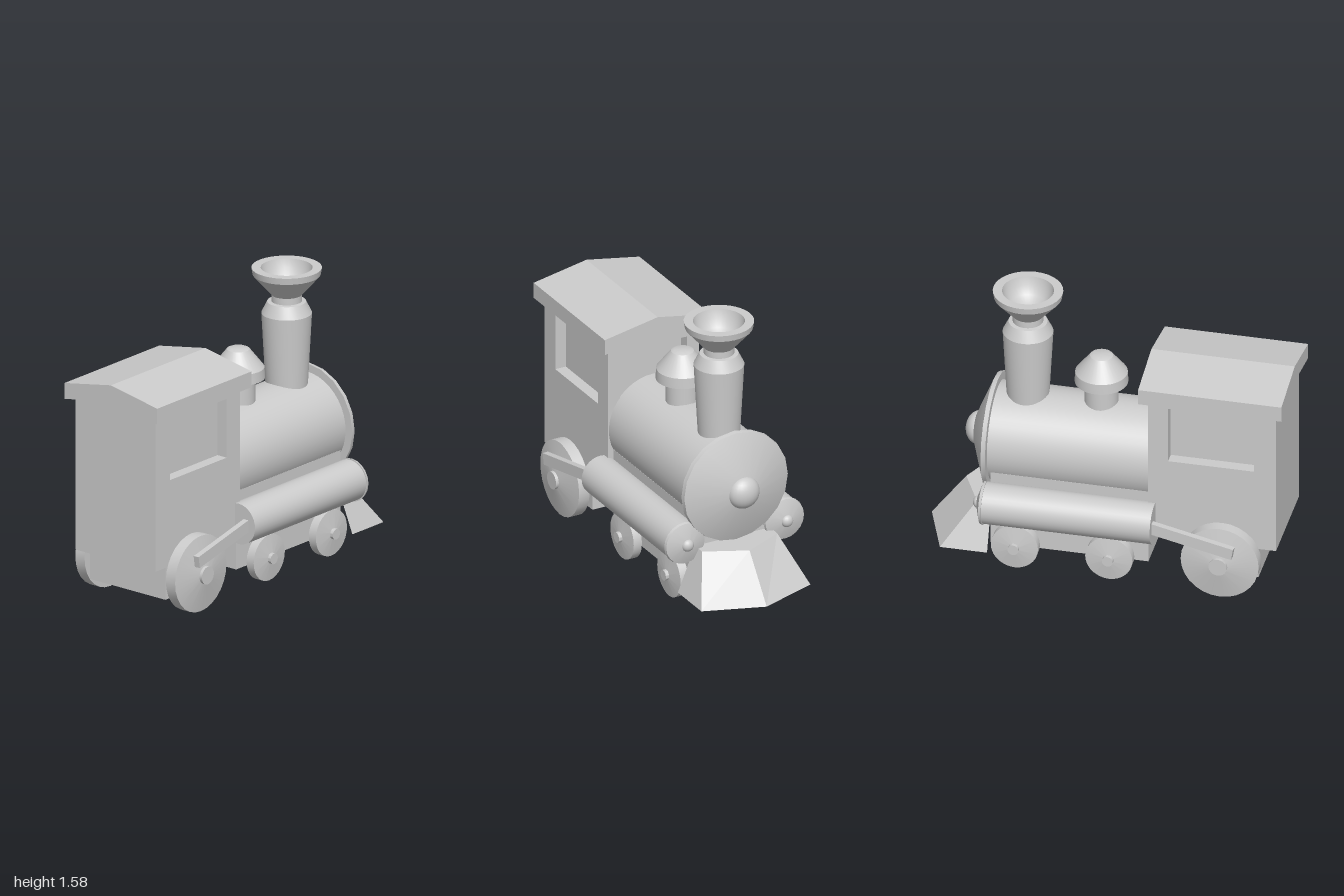
import * as THREE from 'three';
import { toCreasedNormals } from 'three/addons/utils/BufferGeometryUtils.js';

const material = new THREE.MeshStandardMaterial({ color: 0xcccccc });
const thinMaterial = new THREE.MeshStandardMaterial({ color: 0xcccccc, side: THREE.DoubleSide });

export function createModel() {
  const model = new THREE.Group();

  function add(name, geometry, x = 0, y = 0, z = 0, mat = material) {
    const mesh = new THREE.Mesh(geometry, mat);
    mesh.name = name;
    mesh.position.set(x, y, z);
    model.add(mesh);
    return mesh;
  }

  // Box given by its limits on each axis
  function block(name, x0, x1, y0, y1, z0, z1) {
    add(name, new THREE.BoxGeometry(x1 - x0, y1 - y0, z1 - z0),
      (x0 + x1) / 2, (y0 + y1) / 2, (z0 + z1) / 2);
  }

  // Turned part from [radius, height] pairs, with crisp edges
  function turned(profile, sides = 32) {
    const points = profile.map(([r, h]) => new THREE.Vector2(r, h));
    return toCreasedNormals(new THREE.LatheGeometry(points, sides), 0.45);
  }

  function outline(points) {
    return new THREE.Shape(points.map(([x, y]) => new THREE.Vector2(x, y)));
  }

  function extrude(shape, depth) {
    return new THREE.ExtrudeGeometry(shape, { depth, bevelEnabled: false });
  }

  function cutWindow(shape, a, b) {
    shape.holes.push(new THREE.Path([[a, 0.78], [a, 1.115], [b, 1.115], [b, 0.78]]
      .map(([x, y]) => new THREE.Vector2(x, y))));
    return shape;
  }

  const gable = (w) => outline([[-w, 0.29], [w, 0.29], [w, 1.205 - 0.17 * w], [0, 1.205], [-w, 1.205 - 0.17 * w]]);

  // Cab: solid core behind framed, recessed windows
  const wall = 0.065;
  add('cabCore', extrude(gable(0.215), 0.64), 0, 0, 0.32);
  add('cabFrontWall', extrude(cutWindow(gable(0.215), -0.205, 0.205), wall), 0, 0, 0.255);
  const sideShape = cutWindow(outline([[0.255, 0.29], [0.96, 0.29], [0.96, 1.16], [0.255, 1.16]]), 0.365, 0.84);
  for (const x of [0.28, -0.28 + wall]) {
    add('cabSideWall', extrude(sideShape, wall).rotateY(-Math.PI / 2), x);
  }
  add('cabRoof', extrude(outline([[-0.325, 1.15], [0, 1.205], [0.325, 1.15],
    [0.325, 1.24], [0, 1.3], [-0.325, 1.24]]), 0.79), 0, 0, 0.21);

  // Underframe
  block('rearFrame', -0.265, 0.265, 0.1, 0.3, 0.455, 0.86);
  block('frontFrame', -0.25, 0.25, 0.105, 0.55, -0.62, 0.25);

  // Boiler with its conical front plate and rounded knob
  const forward = -Math.PI / 2;
  add('boiler', turned([[0, -0.26], [0.275, -0.26], [0.275, 0.64], [0, 0.64]], 40).rotateX(forward), 0, 0.665, 0);
  add('boilerFront', turned([[0, 0.635], [0.322, 0.635], [0.318, 0.66], [0.08, 0.755], [0, 0.755]], 20)
    .rotateX(forward), 0, 0.665, 0);
  add('boilerKnob', new THREE.SphereGeometry(0.092, 24, 16).scale(1, 1, 0.75), 0, 0.665, -0.742);

  // Chimney with hollow flared top
  add('chimney', turned([[0, 0.88], [0.113, 0.88], [0.137, 1.32], [0.105, 1.385], [0.083, 1.388],
    [0.083, 1.425], [0.184, 1.54], [0.19, 1.577], [0.14, 1.577], [0.128, 1.53], [0.1, 1.485],
    [0.055, 1.455], [0, 1.445]]), 0, 0, -0.47);

  // Steam dome
  add('steamDome', turned([[0, 0.88], [0.092, 0.88], [0.092, 1.055], [0.145, 1.06], [0.142, 1.12],
    [0.062, 1.222], [0.045, 1.23], [0, 1.23]]), 0, 0, -0.065);

  // Wheel turned about its axle; heights run outward from the middle line
  function wheel(name, side, r, z, inner, tread, face, hubR, hubEnd) {
    const profile = [[0, inner], [r, inner], [r, tread], [hubR, face], [hubR, hubEnd], [0, hubEnd]];
    add(name, turned(profile, 28).rotateZ(-side * Math.PI / 2), 0, r + 0.002, z);
  }

  for (const side of [1, -1]) {
    // Side cylinders with capped ends
    const x = side * 0.305;
    add('sideCylinder', turned([[0, -0.295], [0.115, -0.295], [0.115, 0.64], [0, 0.64]])
      .rotateX(forward), x, 0.39, 0);
    add('cylinderCap', turned([[0, 0.635], [0.122, 0.635], [0.118, 0.65], [0.035, 0.678], [0, 0.678]], 20)
      .rotateX(forward), x, 0.39, 0);
    add('cylinderKnob', new THREE.SphereGeometry(0.035, 16, 12).scale(1, 1, 0.8), x, 0.39, -0.675);

    // Wheels
    wheel('driveWheel', side, 0.215, 0.665, 0.285, 0.35, 0.383, 0.05, 0.4);
    for (const z of [0.045, -0.475]) wheel('smallWheel', side, 0.13, z, 0.26, 0.31, 0.325, 0.03, 0.345);

    // Connecting rod from side cylinder to drive wheel
    const start = new THREE.Vector3(side * 0.355, 0.396, 0.27);
    const end = new THREE.Vector3(side * 0.39, 0.313, 0.747);
    const rod = add('connectingRod', new THREE.BoxGeometry(0.033, 0.066, start.distanceTo(end)));
    rod.position.addVectors(start, end).multiplyScalar(0.5);
    rod.lookAt(end);
  }

  // Axles
  for (const [z, y, r] of [[0.665, 0.217, 0.05], [0.045, 0.132, 0.03], [-0.475, 0.132, 0.03]]) {
    add('axle', new THREE.CylinderGeometry(r, r, 0.58, 16).rotateZ(Math.PI / 2), 0, y, z);
  }

  // Track plough: flared shell between an upper and a lower outline, open below
  const upper = [[0.23, -0.62], [0.23, -0.7], [0, -0.81], [-0.23, -0.7], [-0.23, -0.62]];
  const lower = [[0.335, -0.62], [0.335, -0.88], [0, -1], [-0.335, -0.88], [-0.335, -0.62]];
  const vertices = [];
  const push = ([x, z], y) => vertices.push(x, y, z);
  for (let i = 0; i < 4; i++) {
    push(lower[i], 0.09); push(lower[i + 1], 0.09); push(upper[i + 1], 0.345);
    push(lower[i], 0.09); push(upper[i + 1], 0.345); push(upper[i], 0.345);
  }
  for (let i = 1; i < 4; i++) {
    push(upper[0], 0.345); push(upper[i], 0.345); push(upper[i + 1], 0.345);
  }
  const plough = new THREE.BufferGeometry();
  plough.setAttribute('position', new THREE.Float32BufferAttribute(vertices, 3));
  plough.computeVertexNormals();
  add('trackPlough', plough, 0, 0, 0, thinMaterial);

  return model;
}
